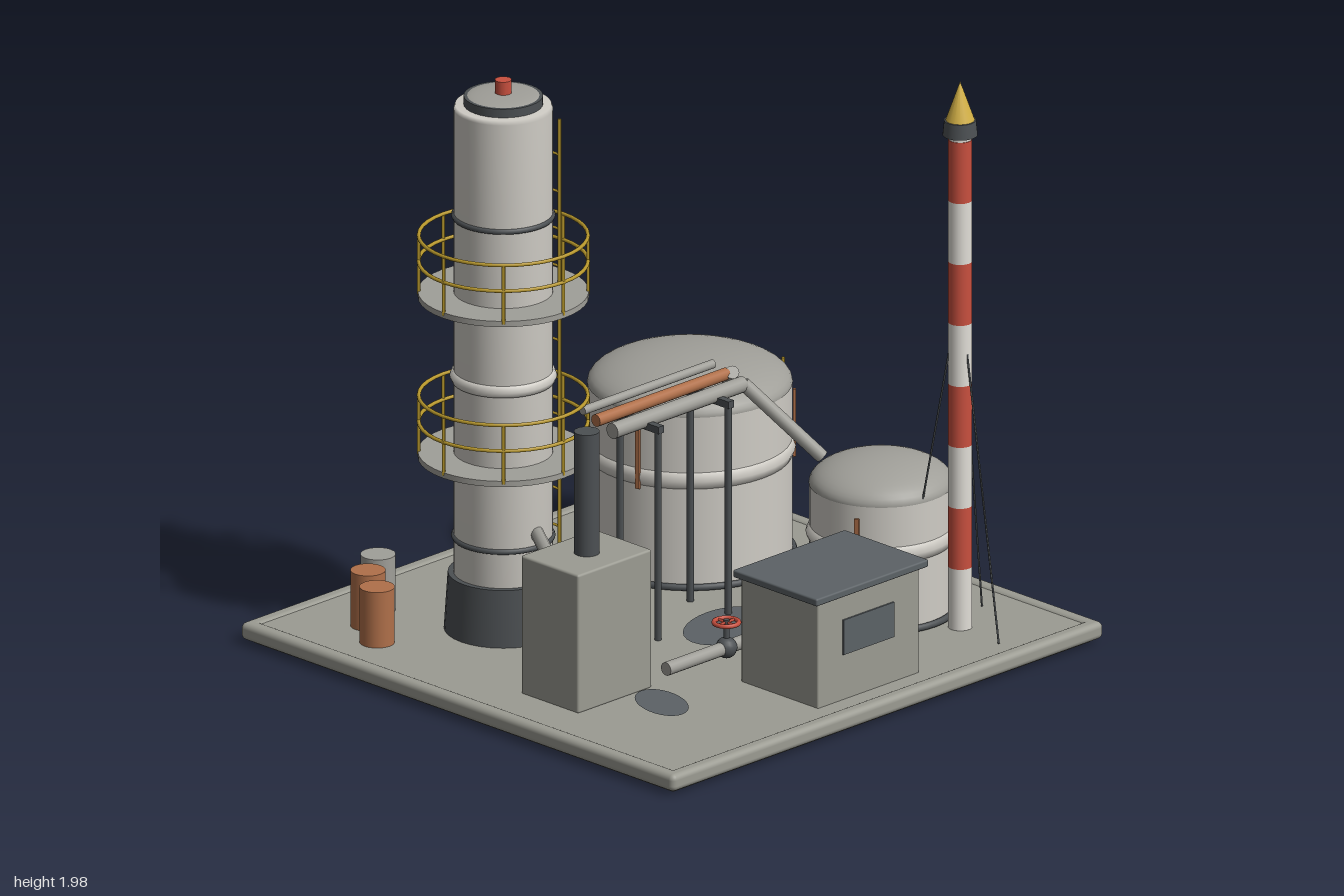
import * as THREE from 'three';
import { RoundedBoxGeometry } from 'three/addons/geometries/RoundedBoxGeometry.js';

const paint = (name, color) => {
  const m = new THREE.MeshStandardMaterial({ color });
  m.name = name;
  return m;
};

export function createModel() {
  const root = new THREE.Group();
  root.name = 'refinery';

  const tankWhite = paint('tank white', 0xcfccc5);
  const concrete = paint('concrete', 0x9b9b92);
  const steel = paint('pipe steel', 0xa09f99);
  const dark = paint('dark steel', 0x4c5053);
  const slate = paint('slate', 0x5c6266);
  const red = paint('signal red', 0xc9503f);
  const copper = paint('copper', 0xb0704a);
  const yellow = paint('safety yellow', 0xb8982c);
  const mastWhite = paint('mast white', 0xe2dfd8);
  const flameYellow = paint('flame yellow', 0xd4b146);

  const group = (name, x = 0, y = 0, z = 0) => {
    const g = new THREE.Group();
    g.name = name;
    g.position.set(x, y, z);
    root.add(g);
    return g;
  };
  const add = (parent, name, geo, mat, x = 0, y = 0, z = 0) => {
    const m = new THREE.Mesh(geo, mat);
    m.name = name;
    m.position.set(x, y, z);
    parent.add(m);
    return m;
  };
  // Upright cylinder between two heights
  const drum = (parent, name, mat, r, y0, y1, x = 0, z = 0, rTop = r, sides = 32) =>
    add(parent, name, new THREE.CylinderGeometry(rTop, r, y1 - y0, sides), mat, x, (y0 + y1) / 2, z);
  // Straight pipe between two points
  const pipe = (parent, name, mat, r, a, b, sides = 12) => {
    const p = new THREE.Vector3(...a), q = new THREE.Vector3(...b);
    const m = add(parent, name, new THREE.CylinderGeometry(r, r, p.distanceTo(q), sides), mat);
    m.position.copy(p).add(q).multiplyScalar(0.5);
    m.quaternion.setFromUnitVectors(new THREE.Vector3(0, 1, 0), q.sub(p).normalize());
    return m;
  };
  // Horizontal ring
  const ring = (parent, name, mat, r, tube, y, x = 0, z = 0) => {
    const m = add(parent, name, new THREE.TorusGeometry(r, tube, 8, 40), mat, x, y, z);
    m.rotation.x = Math.PI / 2;
    return m;
  };
  // Ladder facing +x
  const ladder = (parent, x, z, y0, y1) => {
    for (const s of [-1, 1])
      pipe(parent, 'ladderRail', yellow, 0.006, [x, y0, z + s * 0.072], [x, y1, z + s * 0.072], 6);
    for (let y = y1 - 0.125; y > y0 + 0.02; y -= 0.13)
      pipe(parent, 'ladderRung', yellow, 0.005, [x, y, z - 0.072], [x, y, z + 0.072], 6);
  };

  // Ground slab with raised kerb
  const base = group('base');
  add(base, 'slab', new RoundedBoxGeometry(1.95, 0.066, 1.95, 3, 0.015), concrete, 0, 0.035, 0);
  for (const s of [-1, 1]) {
    add(base, 'kerb', new RoundedBoxGeometry(2, 0.06, 0.055, 3, 0.02), concrete, 0, 0.045, s * 0.9725);
    add(base, 'kerb', new RoundedBoxGeometry(0.055, 0.06, 2, 3, 0.02), concrete, s * 0.9725, 0.045, 0);
  }
  // Oil stains: x, z, half length, half width, turn
  for (const [x, z, a, b, turn] of [
    [0.105, 0.145, 0.19, 0.125, 0.3], [-0.54, 0.49, 0.13, 0.078, 1.2], [0.4, 0.62, 0.105, 0.065, 0.25],
  ]) {
    const stain = add(base, 'oilStain', new THREE.CircleGeometry(1, 28), slate, x, 0.0715, z);
    stain.rotation.set(-Math.PI / 2, 0, turn);
    stain.scale.set(a, b, 1);
  }

  // Distillation column
  const column = group('column', -0.41, 0, -0.37);
  drum(column, 'skirt', dark, 0.195, 0.065, 0.265, 0, 0, 0.182);
  const shell = [[0, 0.2], [0.163, 0.2], [0.163, 1.885], [0.158, 1.9], [0, 1.9]];
  add(column, 'shell', new THREE.LatheGeometry(
    shell.map(([r, y]) => new THREE.Vector2(r, y)), 40), tankWhite);
  drum(column, 'cap', dark, 0.13, 1.895, 1.93);
  const crown = add(column, 'capTop', new THREE.SphereGeometry(0.126, 32, 8, 0, Math.PI * 2, 0, Math.PI / 2),
    steel, 0, 1.925, 0);
  crown.scale.y = 0.12;
  drum(column, 'beacon', red, 0.028, 1.93, 1.985, 0, 0, 0.028, 12);
  ring(column, 'darkBand', dark, 0.161, 0.01, 1.513);
  ring(column, 'darkBand', dark, 0.161, 0.01, 0.392);
  ring(column, 'wideBand', tankWhite, 0.15, 0.026, 0.952);
  for (const y of [0.665, 1.225]) {
    drum(column, 'platform', steel, 0.28, y, y + 0.02, 0, 0, 0.28, 40);
    for (const h of [0.125, 0.215]) ring(column, 'handrail', yellow, 0.277, 0.0065, y + h);
    for (let i = 0; i < 8; i++) {
      const a = i * Math.PI / 4;
      drum(column, 'railPost', yellow, 0.006, y + 0.01, y + 0.215,
        0.277 * Math.cos(a), 0.277 * Math.sin(a), 0.006, 6);
    }
  }
  ladder(column, 0.188, 0, 0.07, 1.815);

  // Storage tanks
  const tank = (name, x, z, r, wallTop, top, bandY, streakAngle, streakLow, streakHigh) => {
    const g = group(name, x, 0, z);
    drum(g, 'wall', tankWhite, r, 0.065, wallTop, 0, 0, r, 40);
    const roof = add(g, 'domeRoof', new THREE.SphereGeometry(r + 0.002, 40, 12, 0, Math.PI * 2, 0, Math.PI / 2),
      steel, 0, wallTop - 0.008, 0);
    roof.scale.y = (top - wallTop + 0.008) / (r + 0.002);
    ring(g, 'footRing', dark, r + 0.006, 0.012, 0.08);
    ring(g, 'wallBand', tankWhite, r - 0.028, 0.04, bandY);
    for (let i = 0; i < 3; i++) {
      const a = streakAngle + i * Math.PI * 2 / 3;
      const s = add(g, 'rustStreak', new THREE.BoxGeometry(0.009, streakHigh - streakLow, 0.016), copper,
        (r + 0.007) * Math.cos(a), (streakLow + streakHigh) / 2, (r + 0.007) * Math.sin(a));
      s.rotation.y = -a;
    }
    ladder(g, r + 0.02, 0.005, 0.07, wallTop);
  };
  tank('largeTank', 0.495, -0.41, 0.335, 0.68, 0.775, 0.45, Math.PI / 4, 0.41, 0.645);
  tank('smallTank', 0.58, 0.388, 0.236, 0.52, 0.605, 0.343, 0.6, 0.265, 0.47);

  // Striped flare mast with guy wires
  const mast = group('flareMast', 0.642, 0, 0.69);
  const step = 0.2135;
  for (let i = 0; i < 8; i++)
    drum(mast, 'mastBand', i % 2 ? red : mastWhite, 0.04, 0.07 + i * step, 0.07 + (i + 1) * step, 0, 0, 0.04, 20);
  drum(mast, 'mastNeck', mastWhite, 0.038, 1.778, 1.8, 0, 0, 0.038, 20);
  drum(mast, 'burnerCollar', dark, 0.058, 1.793, 1.845, 0, 0, 0.053, 20);
  add(mast, 'flame', new THREE.ConeGeometry(0.048, 0.135, 16), flameYellow, 0, 1.9125, 0);
  for (let i = 0; i < 3; i++) {
    const a = -0.42 + i * Math.PI * 2 / 3, c = Math.cos(a), s = Math.sin(a);
    pipe(mast, 'guyWire', dark, 0.0035, [0.035 * c, 1.045, 0.035 * s], [0.2 * c, 0.07, 0.2 * s], 5);
  }

  // Heater with stack and duct to the column
  const heater = group('heater');
  add(heater, 'heaterBody', new RoundedBoxGeometry(0.342, 0.485, 0.265, 2, 0.008), concrete, -0.626, 0.3075, 0.228);
  drum(heater, 'heaterStack', dark, 0.042, 0.54, 0.975, -0.626, 0.23, 0.042, 20);
  pipe(heater, 'heaterDuct', steel, 0.023, [-0.64, 0.44, 0.115], [-0.4, 0.44, -0.23]);

  // Control building
  const hut = group('controlBuilding');
  add(hut, 'walls', new RoundedBoxGeometry(0.47, 0.375, 0.355, 2, 0.006), concrete, 0.022, 0.25, 0.7075);
  add(hut, 'roof', new RoundedBoxGeometry(0.52, 0.026, 0.388, 2, 0.006), slate, 0.024, 0.447, 0.708);
  add(hut, 'window', new THREE.BoxGeometry(0.235, 0.122, 0.008), slate, 0.018, 0.287, 0.887);

  // Low pipeline with two valves
  const line = group('valveLine');
  pipe(line, 'lowPipe', steel, 0.023, [-0.435, 0.137, 0.405], [0.38, 0.137, 0.405], 16);
  for (const x of [-0.155, 0.148]) {
    add(line, 'valveBody', new THREE.SphereGeometry(0.036, 16, 12), dark, x, 0.137, 0.405);
    drum(line, 'valveStem', dark, 0.01, 0.14, 0.235, x, 0.405, 0.01, 10);
    ring(line, 'handwheel', red, 0.041, 0.008, 0.225, x, 0.405);
    for (const [dx, dz] of [[0.04, 0], [0, 0.04]])
      pipe(line, 'wheelSpoke', red, 0.005, [x - dx, 0.225, 0.405 - dz], [x + dx, 0.225, 0.405 + dz], 6);
  }

  // Pipe rack
  const rack = group('pipeRack');
  for (const x of [-0.135, 0.19]) {
    for (const z of [-0.105, 0.07]) drum(rack, 'rackPost', dark, 0.012, 0.065, 0.81, x, z, 0.012, 10);
    add(rack, 'rackBeam', new THREE.BoxGeometry(0.025, 0.025, 0.205), dark, x, 0.806, -0.018);
  }
  for (const [name, mat, r, y, z] of [
    ['frontPipe', steel, 0.027, 0.822, 0.008], ['copperPipe', copper, 0.021, 0.838, -0.068], ['backPipe', steel, 0.015, 0.856, -0.13],
  ]) pipe(rack, name, mat, r, [-0.285, y, z], [0.32, y, z], 16);
  pipe(rack, 'smallTankFeed', steel, 0.023, [0.32, 0.825, 0.01], [0.5, 0.57, 0.195]);
  pipe(rack, 'largeTankFeed', steel, 0.023, [0.325, 0.848, -0.045], [0.405, 0.725, -0.155]);

  // Barrels
  const barrels = group('barrels');
  for (const [x, z, mat] of [[-0.583, -0.775, steel], [-0.71, -0.695, copper], [-0.797, -0.567, copper]])
    drum(barrels, 'barrel', mat, 0.058, 0.065, 0.262, x, z, 0.058, 20);

  return root;
}
